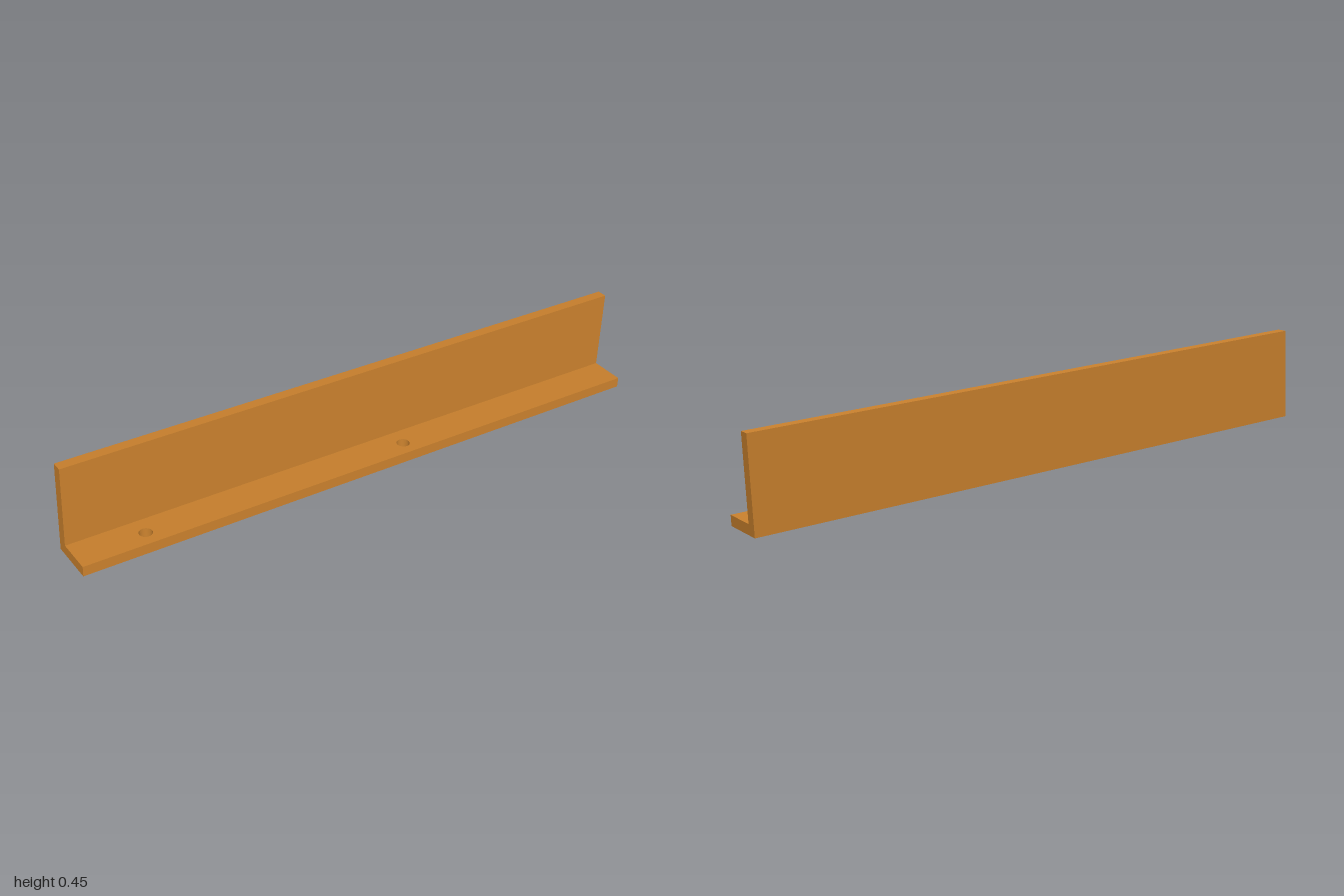
import * as THREE from 'three';

export function createModel() {
  const wood = new THREE.MeshStandardMaterial({ color: 0xc8802d });
  wood.name = 'warm orange';

  const length = 1.983, height = 0.2955, depth = 0.147, thickness = 0.033;

  // Local frame: right back bottom corner at the origin, length along -x
  const bracket = new THREE.Group();
  bracket.name = 'angleBracket';

  // Upright plate
  const wallGeometry = new THREE.BoxGeometry(length, height, thickness);
  wallGeometry.translate(-length / 2, height / 2, thickness / 2);
  const wall = new THREE.Mesh(wallGeometry, wood);
  wall.name = 'uprightPlate';
  bracket.add(wall);

  // Ledge with two screw holes, drawn flat and laid down
  const outline = new THREE.Shape([
    new THREE.Vector2(-length, -depth),
    new THREE.Vector2(0, -depth),
    new THREE.Vector2(0, -thickness),
    new THREE.Vector2(-length, -thickness),
  ]);
  for (const x of [-1.76, -0.855]) {
    outline.holes.push(new THREE.Path().absarc(x, -0.0955, 0.0208, 0, Math.PI * 2, true));
  }
  const ledgeGeometry = new THREE.ExtrudeGeometry(outline, {
    depth: thickness, bevelEnabled: false, curveSegments: 32,
  });
  ledgeGeometry.rotateX(-Math.PI / 2);
  const ledge = new THREE.Mesh(ledgeGeometry, wood);
  ledge.name = 'ledge';
  bracket.add(ledge);

  // Tilt the whole bracket: sloping down to its left and leaning back
  const along = new THREE.Vector3(1.977, -0.155, 0.0075).normalize();
  const out = new THREE.Vector3(0, 0.0477, 0.9989);
  const up = out.clone().cross(along).normalize();
  out.crossVectors(along, up);
  bracket.quaternion.setFromRotationMatrix(new THREE.Matrix4().makeBasis(along, up, out));
  bracket.position.set(0.977, 0, -0.0616);

  const model = new THREE.Group();
  model.name = 'model';
  model.add(bracket);
  return model;
}
